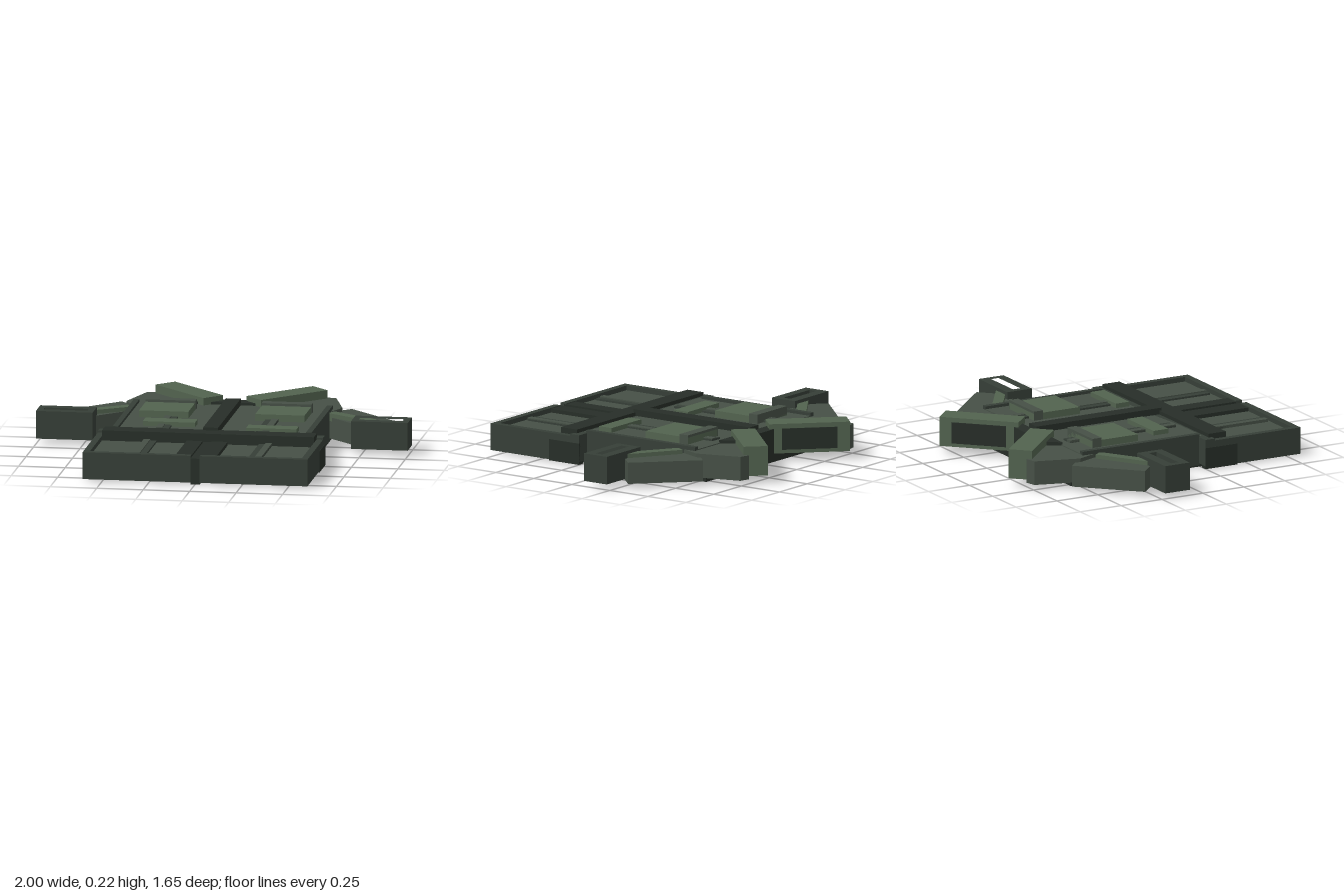
import * as THREE from 'three';

const mat = (color) => new THREE.MeshStandardMaterial({ color, roughness: 0.9, flatShading: true });

export function createModel() {
  const model = new THREE.Group();
  model.name = 'jacket';
  const cloth = mat(0x465046), light = mat(0x52634f), trim = mat(0x363f37), dark = mat(0x272e28);

  // Box given by its extents on each axis
  const box = (name, x0, x1, y0, y1, z0, z1, material) => {
    const mesh = new THREE.Mesh(new THREE.BoxGeometry(x1 - x0, y1 - y0, z1 - z0), material);
    mesh.position.set((x0 + x1) / 2, (y0 + y1) / 2, (z0 + z1) / 2);
    mesh.name = name;
    model.add(mesh);
    return mesh;
  };

  // The same box on either side: s = 1 left, s = -1 right
  const sideBox = (s, name, x0, x1, ...rest) =>
    box(name, Math.min(s * x0, s * x1), Math.max(s * x0, s * x1), ...rest);

  // Box turned about the vertical axis; angle goes from +x towards +z
  const turnedBox = (s, name, x, z, length, width, y0, y1, angle, material) => {
    const mesh = box(name, s * x - length / 2, s * x + length / 2, y0, y1, z - width / 2, z + width / 2, material);
    mesh.rotation.y = -s * angle;
    return mesh;
  };

  // Flat outline in x and z, given a thickness in y
  const slab = (name, points, y0, y1, material, hole) => {
    const toVectors = (list) => list.map(([x, z]) => new THREE.Vector2(x, -z));
    const shape = new THREE.Shape(toVectors(points));
    if (hole) shape.holes.push(new THREE.Path(toVectors(hole)));
    const geometry = new THREE.ExtrudeGeometry(shape, { depth: y1 - y0, bevelEnabled: false });
    geometry.rotateX(-Math.PI / 2);
    const mesh = new THREE.Mesh(geometry, material);
    mesh.position.y = y0;
    mesh.name = name;
    model.add(mesh);
  };
  const rect = (x0, x1, z0, z1) => [[x0, z0], [x1, z0], [x1, z1], [x0, z1]];

  // Back, front closure, neck and waist
  box('backPanel', -0.53, 0.53, 0, 0.03, -0.54, 0.28, dark);
  box('frontPlacket', -0.04, 0.04, 0.02, 0.2, -0.47, 0.295, dark);
  slab('neckBand', [[-0.26, -0.54], [0.26, -0.54], [0.31, -0.465], [-0.31, -0.465]], 0.02, 0.178, dark);
  box('waistSeam', -0.605, 0.605, 0.02, 0.165, 0.24, 0.3, trim);
  box('belt', -0.57, 0.57, 0.02, 0.185, 0.28, 0.385, dark);
  box('skirtPlacket', -0.025, 0.025, 0, 0.14, 0.38, 0.82, dark);

  for (const s of [1, -1]) {
    // Torso half and shoulder
    sideBox(s, 'frontPanel', 0.03, 0.52, 0.015, 0.165, -0.47, 0.27, cloth);
    sideBox(s, 'sideSeam', 0.505, 0.535, 0.01, 0.18, -0.47, 0.245, trim);
    slab('shoulder', [[0.13, -0.45], [0.45, -0.765], [0.51, -0.75], [0.58, -0.51], [0.52, -0.36]]
      .map(([x, z]) => [s * x, z]), 0.03, 0.16, cloth);

    // Collar with its lining on the neck side
    turnedBox(s, 'collar', 0.263, -0.63, 0.435, 0.13, 0.045, 0.205, -Math.PI / 4, light);
    turnedBox(s, 'collarLining', 0.225, -0.668, 0.3, 0.034, 0.065, 0.18, -Math.PI / 4, dark);

    // Sleeve, its fold and the hollow cuff
    turnedBox(s, 'sleeve', 0.684, -0.364, 0.403, 0.22, 0.025, 0.14, Math.PI / 4, cloth);
    turnedBox(s, 'sleeveFold', 0.67, -0.295, 0.31, 0.055, 0.12, 0.162, 0.59, light);
    slab('cuff', rect(0.695, 1, -0.23, -0.08).map(([x, z]) => [s * x, z]), 0.03, 0.18, trim,
      rect(0.73, 0.965, -0.175, -0.13).map(([x, z]) => [s * x, z]));

    // Chest straps, pocket and flap
    sideBox(s, 'chestStrap', 0.235, 0.305, 0.15, 0.175, -0.415, 0.23, trim);
    sideBox(s, 'chestStrapEdge', 0.27, 0.305, 0.15, 0.18, -0.415, 0.23, cloth);
    sideBox(s, 'chestPocket', 0.18, 0.445, 0.15, 0.202, -0.36, -0.08, light);
    sideBox(s, 'pocketFlap', 0.178, 0.447, 0.16, 0.215, -0.36, -0.305, cloth);

    // Skirt: recessed panel in a raised border
    sideBox(s, 'skirtPanel', 0.025, 0.6, 0.015, 0.13, 0.28, 0.81, cloth);
    sideBox(s, 'skirtSideEdge', 0.57, 0.605, 0.01, 0.155, 0.3, 0.82, trim);
    sideBox(s, 'skirtHem', 0.025, 0.605, 0.01, 0.155, 0.785, 0.822, trim);
    sideBox(s, 'skirtFacing', 0.025, 0.11, 0.02, 0.15, 0.41, 0.8, dark);
    sideBox(s, 'skirtStrap', 0.275, 0.345, 0.11, 0.14, 0.38, 0.77, trim);
    sideBox(s, 'skirtStrapEdge', 0.31, 0.345, 0.11, 0.146, 0.38, 0.77, cloth);
    sideBox(s, 'waistTab', 0.57, 0.608, 0.005, 0.12, 0.24, 0.435, dark);
  }

  // Name tapes sit at different heights on each side
  box('leftTape', 0.18, 0.45, 0.15, 0.19, 0.14, 0.222, light);
  box('rightTape', -0.39, -0.11, 0.15, 0.19, 0.045, 0.137, light);
  return model;
}
